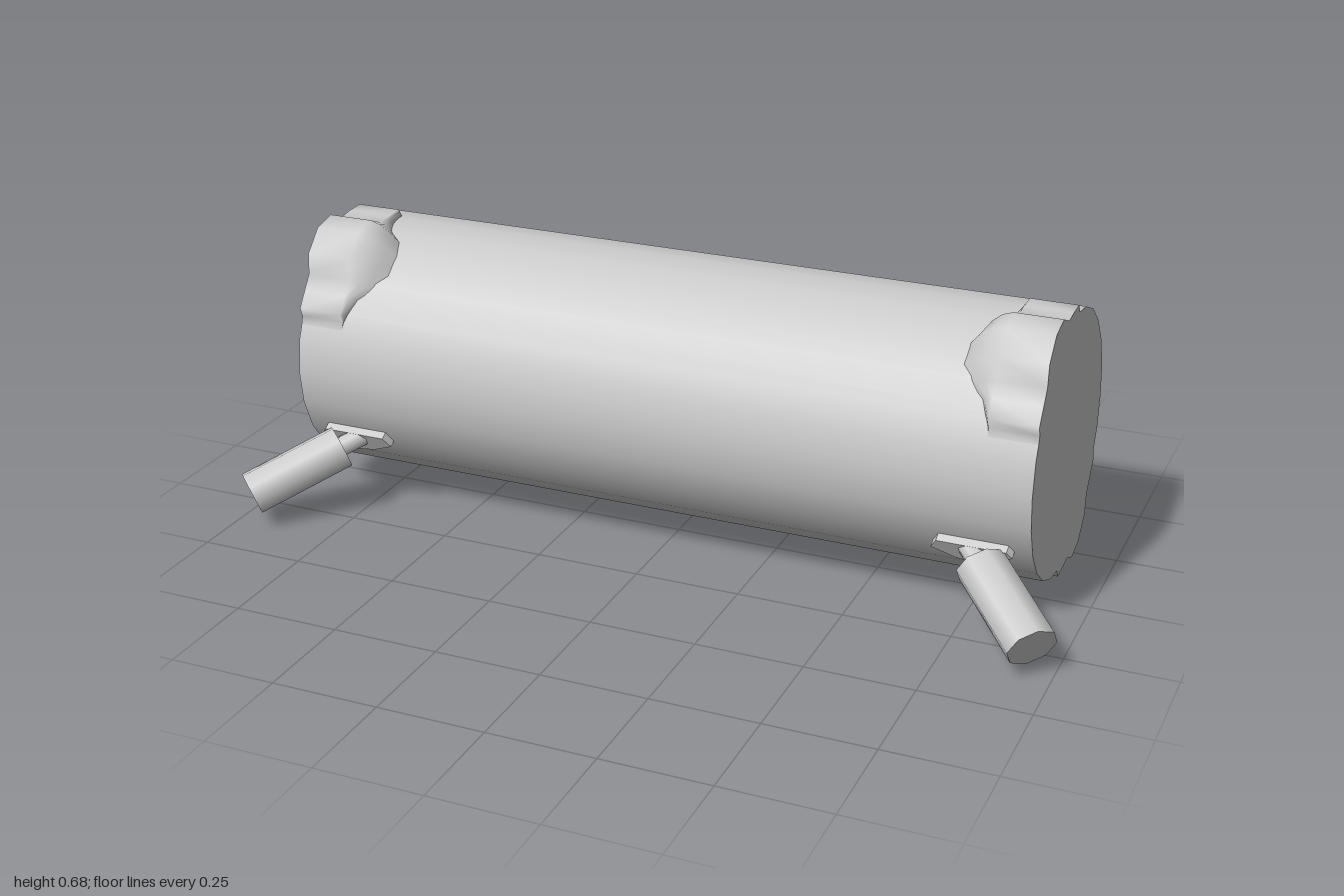
import * as THREE from 'three';

const R = 0.31, HALF = 0.9, CY = 0.344, CZ = -0.098;
const grey = new THREE.MeshStandardMaterial({ color: 0xcccccc });
const flat = new THREE.MeshStandardMaterial({ color: 0xcccccc, flatShading: true });

// Lug outline as [z, y] offsets from the drum axis, and how far each point reaches inwards (x)
const outline = [[-0.022, 0.306], [-0.007, 0.328], [0.038, 0.326], [0.078, 0.321], [0.128, 0.342], [0.188, 0.328],
  [0.235, 0.278], [0.24, 0.226], [0.263, 0.193], [0.288, 0.156], [0.28, 0.134], [0.285, 0.115]];
const reach = [0.79, 0.785, 0.78, 0.76, 0.72, 0.7, 0.7, 0.72, 0.76, 0.78, 0.785, 0.79];
// Taper of a lug: [fraction of the reach, fraction of the height]
const taper = [[0, 1], [0.35, 0.85], [0.7, 0.5], [1, 0]];

function add(group, name, geometry, material = grey) {
  const mesh = new THREE.Mesh(geometry, material);
  mesh.name = name;
  group.add(mesh);
  return mesh;
}

// Grid surface from rows of points; flip reverses the facing
function gridSurface(rows, flip) {
  const n = rows[0].length, index = [];
  for (let r = 0; r < rows.length - 1; r++) {
    for (let i = 0; i < n - 1; i++) {
      const a = r * n + i, b = a + 1, c = a + n, d = c + 1;
      index.push(...(flip ? [a, c, b, b, c, d] : [a, b, c, b, d, c]));
    }
  }
  const g = new THREE.BufferGeometry();
  g.setAttribute('position', new THREE.Float32BufferAttribute(rows.flat(2), 3));
  g.setIndex(index);
  g.computeVertexNormals();
  return g;
}

// One lug: side = which end (+1/-1), turn = +1 upper front, -1 lower back
function addLug(group, side, turn) {
  const base = 0.3;
  const row = (xAt, height) => outline.map(([z, y], i) => {
    const r = Math.hypot(z, y);
    const k = turn * (base + (r - base) * height) / r;
    return [side * xAt(i), CY + y * k, CZ + z * k];
  });
  const end = row(() => HALF, 1);
  const rows = [end, ...taper.map(([t, h]) => row((i) => 0.79 + (reach[i] - 0.79) * t, h))];
  add(group, 'lugShell', gridSurface(rows, side > 0));
  add(group, 'lugEnd', gridSurface([row(() => HALF, 0), end], side > 0));
}

// Eight-sided rod between two points, with its width axis kept level
function rod(group, name, from, to, width, height) {
  const a = new THREE.Vector3(...from), b = new THREE.Vector3(...to);
  const dir = b.clone().sub(a);
  const mesh = add(group, name, new THREE.CylinderGeometry(1, 1, dir.length(), 8));
  dir.normalize();
  const level = new THREE.Vector3(0, 1, 0).cross(dir).normalize();
  const up = level.clone().cross(dir);
  mesh.quaternion.setFromRotationMatrix(new THREE.Matrix4().makeBasis(level, dir, up));
  mesh.position.copy(a).add(b).multiplyScalar(0.5);
  mesh.scale.set(width, 1, height);
}

// Angled foot with its neck and mounting plate
function addFoot(group, s) {
  const foot = new THREE.Group();
  foot.name = s > 0 ? 'leftFoot' : 'rightFoot';
  group.add(foot);
  rod(foot, 'footPeg', [s * 0.797, 0.166, 0.208], [s * 0.957, 0.079, 0.365], 0.061, 0.052);
  rod(foot, 'footNeck', [s * 0.71, 0.213, 0.123], [s * 0.81, 0.159, 0.221], 0.027, 0.024);

  const corners = [[0.86, 0.018], [0.848, 0.035], [0.69, 0.035], [0.675, 0.008], [0.73, -0.018], [0.79, -0.028]];
  const shape = new THREE.Shape(corners.map(([x, y]) => new THREE.Vector2(s * x, y)));
  const plate = add(foot, 'mountingPlate', new THREE.ExtrudeGeometry(shape, { depth: 0.033, bevelEnabled: false }), flat);
  plate.position.set(0, 0.185, 0.15);
  plate.rotation.x = Math.PI / 6;
}

export function createModel() {
  const model = new THREE.Group();
  model.name = 'drumOnFeet';

  // Main drum lying along x
  const drum = add(model, 'drum', new THREE.CylinderGeometry(R, R, 2 * HALF, 24));
  drum.rotation.z = Math.PI / 2;
  drum.position.set(0, CY, CZ);

  for (const s of [1, -1]) {
    for (const turn of [1, -1]) {
      const lug = new THREE.Group();
      lug.name = (s > 0 ? 'left' : 'right') + (turn > 0 ? 'Upper' : 'Lower') + 'Lug';
      model.add(lug);
      addLug(lug, s, turn);
    }
    addFoot(model, s);
  }
  return model;
}
